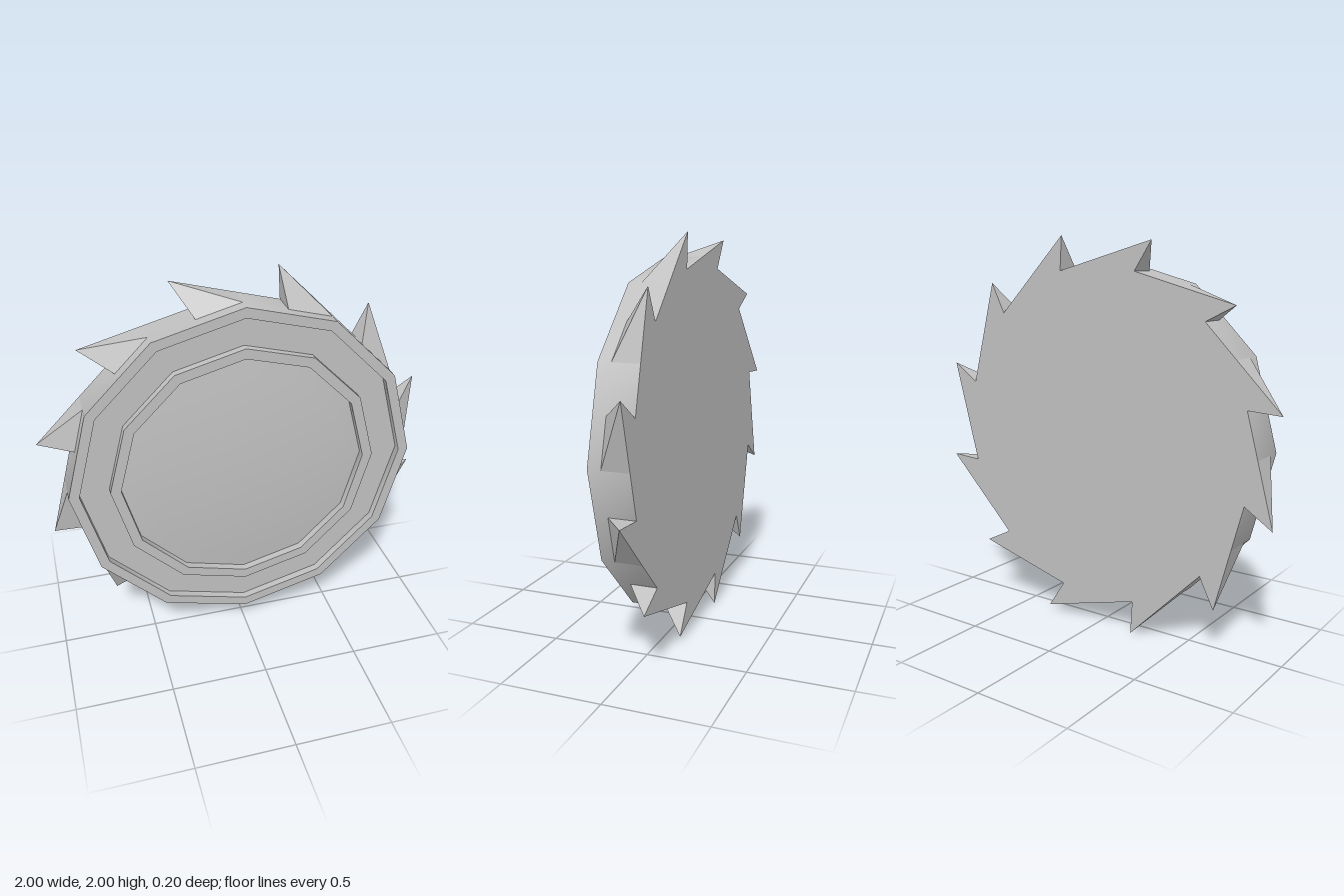
import * as THREE from 'three';
import { toCreasedNormals } from 'three/addons/utils/BufferGeometryUtils.js';

const SIDES = 12;
const R = 0.887;      // corner radius of the twelve-sided disc
const BACK = -0.1;
const FRONT = 0.1;
const FLOOR = 0.06;   // bottom of the front grooves
const TOOTH_FRONT = 0.035;

// Twelve-sided solid of revolution about the z axis from [radius, z] points
function turned(points) {
  const geometry = new THREE.LatheGeometry(points.map(([r, z]) => new THREE.Vector2(r, z)), SIDES);
  geometry.rotateX(Math.PI / 2);
  return toCreasedNormals(geometry, 0.7);
}

// Wedge on the second half of one facet, its tip in line with the next facet
function toothGeometry() {
  const corner = [R * Math.sin(Math.PI / 6), R * Math.cos(Math.PI / 6)];
  const middle = [corner[0] / 2, (R + corner[1]) / 2];
  const reach = 0.232;
  const a = [...middle, TOOTH_FRONT];
  const b = [...corner, TOOTH_FRONT];
  const c = [...middle, BACK];
  const d = [...corner, BACK];
  const tip = [corner[0] - reach, corner[1] + reach, BACK];
  const faces = [
    a, b, tip,   // sloping front
    a, tip, c,   // short cutting side
    b, d, tip,   // long side
    c, tip, d,   // back
  ];
  const geometry = new THREE.BufferGeometry();
  geometry.setAttribute('position', new THREE.Float32BufferAttribute(faces.flat(), 3));
  geometry.computeVertexNormals();
  return geometry;
}

export function createModel() {
  const model = new THREE.Group();
  model.name = 'toothedDisc';
  const steel = new THREE.MeshStandardMaterial({ color: 0xc0c0c0 });
  steel.name = 'grey steel';

  const wheel = new THREE.Group();
  wheel.name = 'wheel';
  wheel.position.y = 1;
  model.add(wheel);

  // Body with outer rim, groove and raised inner ring
  const body = new THREE.Mesh(turned([
    [0, BACK], [R, BACK], [R, FRONT], [0.835, FRONT], [0.835, FLOOR],
    [0.685, FLOOR], [0.685, FRONT], [0.632, FRONT], [0.632, FLOOR],
  ]), steel);
  body.name = 'body';
  wheel.add(body);

  // Shallow domed centre
  const domePoints = [];
  for (let i = 0; i <= 6; i++) {
    const r = 0.632 * (1 - i / 6);
    domePoints.push([r, FLOOR + 0.035 * (1 - (r / 0.632) ** 2)]);
  }
  const dome = new THREE.Mesh(turned(domePoints), steel);
  dome.name = 'centreDome';
  wheel.add(dome);

  // One tooth per facet
  const toothShape = toothGeometry();
  for (let i = 0; i < SIDES; i++) {
    const tooth = new THREE.Mesh(toothShape, steel);
    tooth.name = 'tooth' + (i + 1);
    tooth.rotation.z = (i * 2 * Math.PI) / SIDES;
    wheel.add(tooth);
  }
  return model;
}
